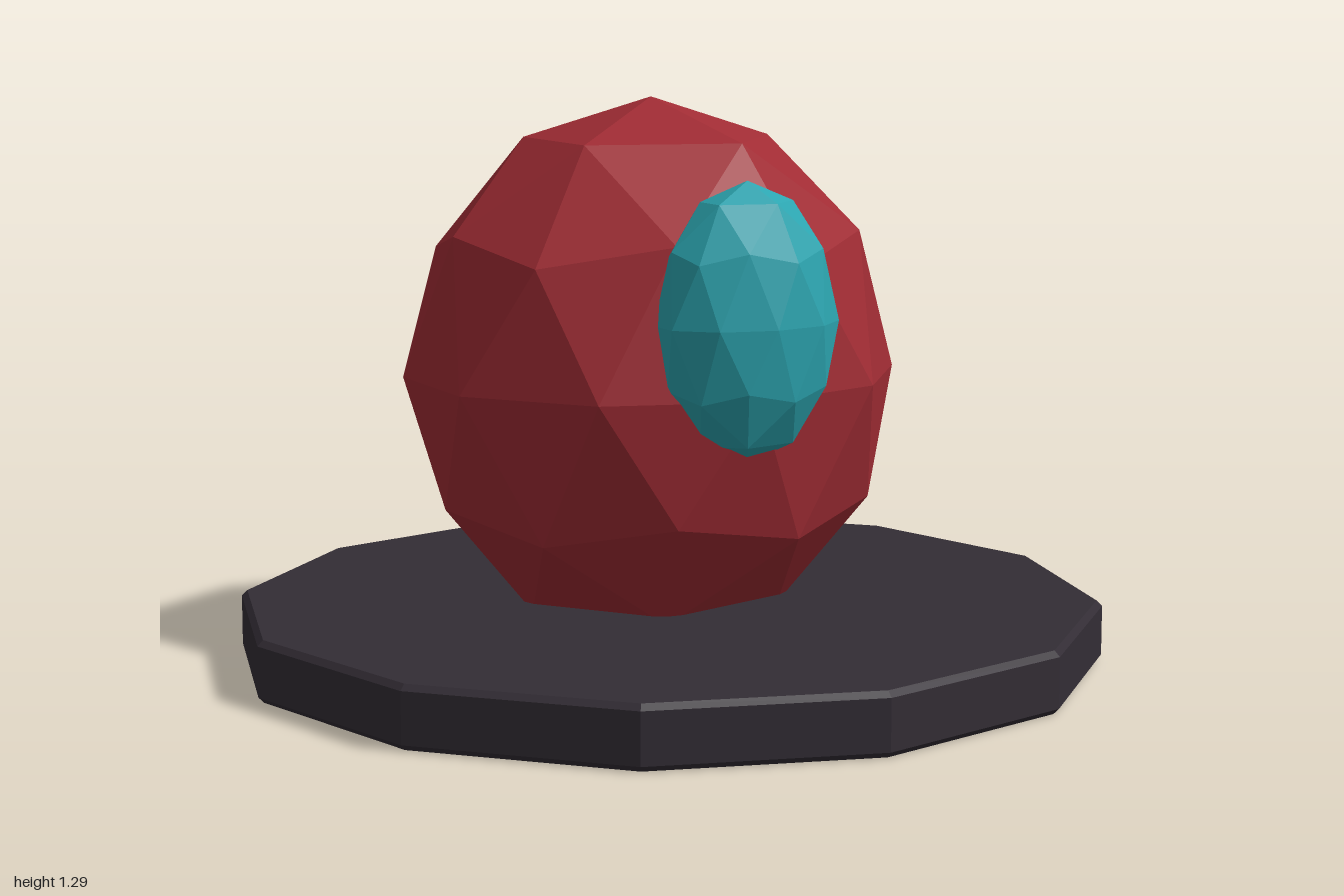
import * as THREE from 'three';

const paint = (color) => new THREE.MeshStandardMaterial({ color, flatShading: true });

// Faceted ellipsoid: 80-face icosphere with one vertex on the y axis
function facetedEllipsoid(name, color, radii, centre) {
  const geometry = new THREE.IcosahedronGeometry(1, 1);
  geometry.rotateZ(-Math.atan(2 / (1 + Math.sqrt(5))));
  geometry.scale(...radii);
  geometry.computeVertexNormals();
  const mesh = new THREE.Mesh(geometry, paint(color));
  mesh.name = name;
  mesh.position.set(...centre);
  return mesh;
}

export function createModel() {
  const model = new THREE.Group();
  model.name = 'figureOnBase';

  // Twelve-sided base disc with narrow bevelled rims
  const height = 0.14, bevel = 0.013;
  const profile = [
    [0, 0], [1 - bevel, 0], [1, bevel],
    [1, height - bevel], [1 - bevel, height], [0, height],
  ].map(([r, y]) => new THREE.Vector2(r, y));
  const base = new THREE.Mesh(new THREE.LatheGeometry(profile, 12), paint(0x332d35));
  base.name = 'base';
  model.add(base);

  // Round body resting in the base, set slightly back
  model.add(facetedEllipsoid('body', 0xa02c34, [0.58, 0.635, 0.535], [0, 0.655, -0.09]));

  // Oval visor half sunk into the front of the body
  model.add(facetedEllipsoid('visor', 0x2ca5b0, [0.216, 0.31, 0.145], [0, 0.82, 0.377]));

  return model;
}
